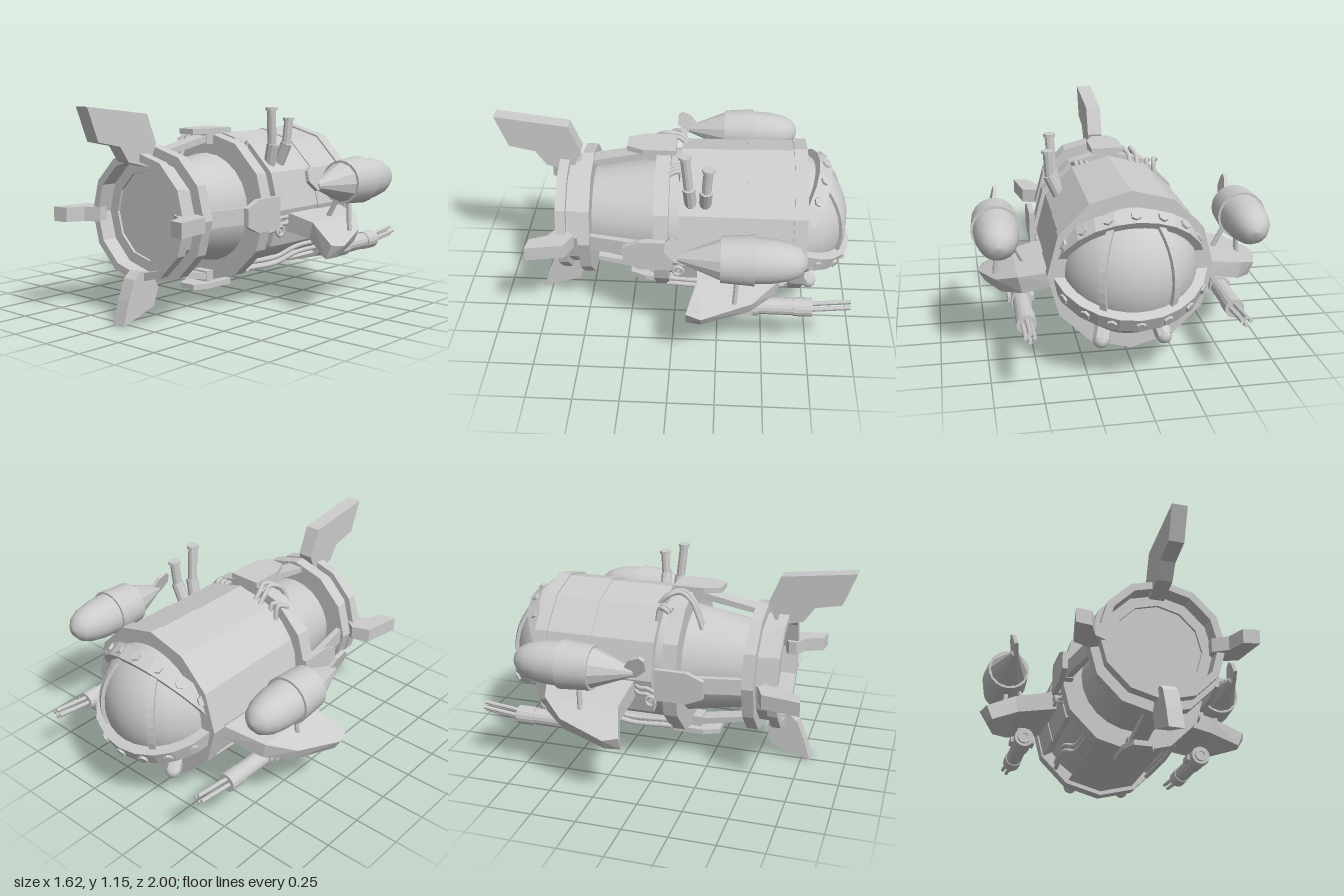
import * as THREE from 'three';
import { ConvexGeometry } from 'three/addons/geometries/ConvexGeometry.js';

const flat = new THREE.MeshStandardMaterial({ color: 0xcccccc, flatShading: true, side: THREE.DoubleSide });
const smooth = new THREE.MeshStandardMaterial({ color: 0xcccccc, side: THREE.DoubleSide });
const V = (x, y, z) => new THREE.Vector3(x, y, z);
const rad = THREE.MathUtils.degToRad;

function add(parent, name, geo, pos = [0, 0, 0], mat = flat) {
  const m = new THREE.Mesh(geo, mat);
  m.name = name;
  m.position.set(...pos);
  parent.add(m);
  return m;
}
function group(parent, name, pos = [0, 0, 0]) {
  const g = new THREE.Group();
  g.name = name;
  g.position.set(...pos);
  parent.add(g);
  return g;
}
// Cylinder lying along z from z0 to z1
function barrel(r0, r1, z0, z1, sides = 12) {
  return new THREE.CylinderGeometry(r1, r0, z1 - z0, sides).rotateX(Math.PI / 2).translate(0, 0, (z0 + z1) / 2);
}
// Rod between two points
function rod(a, b, r, sides = 8) {
  const d = b.clone().sub(a);
  const g = new THREE.CylinderGeometry(r, r, d.length(), sides);
  g.applyQuaternion(new THREE.Quaternion().setFromUnitVectors(V(0, 1, 0), d.normalize()));
  return g.translate((a.x + b.x) / 2, (a.y + b.y) / 2, (a.z + b.z) / 2);
}
function plate(points, depth) {
  const s = new THREE.Shape(points.map(p => new THREE.Vector2(...p)));
  return new THREE.ExtrudeGeometry(s, { depth, bevelEnabled: false }).translate(0, 0, -depth / 2);
}
// Faceted arc of a ring between two angles, centred on z = 0
function arcPlate(r0, r1, from, to, segs, depth) {
  const pts = [];
  for (let i = 0; i <= segs; i++) pts.push([r1, from + (to - from) * i / segs]);
  for (let i = segs; i >= 0; i--) pts.push([r0, from + (to - from) * i / segs]);
  return plate(pts.map(([r, a]) => [r * Math.cos(rad(a)), r * Math.sin(rad(a))]), depth);
}
// Revolve [radius, z] points about the z axis
function lathe(points, sides) {
  return new THREE.LatheGeometry(points.map(p => new THREE.Vector2(...p)), sides).rotateX(Math.PI / 2);
}
function hose(parent, name, points, r) {
  const path = new THREE.CatmullRomCurve3(points.map(p => V(...p)));
  add(parent, name, new THREE.TubeGeometry(path, 20, r, 8), [0, 0, 0], smooth);
}
// [z, radius] outline turned into an upright fin of a given width
const fin = (pts, width) => plate(pts, width).rotateY(-Math.PI / 2);

function buildHull(root) {
  const hull = group(root, 'hull', [0.017, 0.555, 0]);
  add(hull, 'innerHull', barrel(0.36, 0.36, -0.66, 0.05, 24), [0, 0, 0], smooth);
  // Armour covers the top and flanks, with a keel strip below
  add(hull, 'frontArmour', arcPlate(0.34, 0.42, -30, 210, 8, 0.27), [0, 0, -0.525]);
  add(hull, 'rearArmour', arcPlate(0.34, 0.414, -30, 210, 8, 0.37), [0, 0, -0.215]);
  add(hull, 'keel', arcPlate(0.34, 0.405, 240, 300, 2, 0.69), [0, 0, -0.31]);
  add(hull, 'noseCollar', barrel(0.43, 0.43, -0.72, -0.647));
  add(hull, 'midRing', barrel(0.425, 0.425, 0.027, 0.107));
  add(hull, 'tailCone', barrel(0.308, 0.246, 0.1, 0.47, 24), [0, 0, 0], smooth);
  add(hull, 'tailRing', barrel(0.37, 0.37, 0.46, 0.525));
  add(hull, 'nozzle', lathe([[0.31, 0.52], [0.31, 0.595], [0.347, 0.595], [0.347, 0.65], [0.305, 0.65], [0.305, 0.56], [0.245, 0.56], [0.245, 0.545], [0, 0.545]], 12));

  // Clamp plates and slanted struts on four sides
  for (let i = 0; i < 4; i++) {
    const g = group(hull, 'clamp');
    g.rotation.z = i * Math.PI / 2;
    const p = plate([[-0.09, 0], [0.09, 0], [0.09, -0.18], [0.05, -0.27], [-0.05, -0.27], [-0.09, -0.18]], 0.03);
    add(g, 'clampPlate', p.rotateX(-Math.PI / 2), [0, 0.435, 0]);
    add(g, 'clampBlock', new THREE.BoxGeometry(0.1, 0.08, 0.12), [0, 0.4, 0.1]);
    add(g, 'strut', fin([[0.1, 0.38], [0.1, 0.42], [0.47, 0.345], [0.47, 0.315]], 0.09));
  }
  // Tail fins: tall on top, shorter below, short and bent at the sides
  add(hull, 'topFin', fin([[1, 0.595], [0.594, 0.545], [0.53, 0.39], [0.583, 0.265], [0.727, 0.3], [0.785, 0.385], [0.93, 0.415]], 0.085), [-0.013, 0, 0]);
  add(hull, 'bottomFin', fin([[0.8, -0.555], [0.578, -0.48], [0.545, -0.38], [0.594, -0.295], [0.674, -0.28], [0.717, -0.318], [0.76, -0.425]], 0.082), [0.011, 0, 0]);
  const bent = [[0.8, 0.487], [0.59, 0.45], [0.55, 0.355], [0.6, 0.28], [0.645, 0.28], [0.69, 0.36], [0.785, 0.4]];
  for (const s of [-1, 1]) {
    add(hull, s > 0 ? 'leftFin' : 'rightFin', fin(bent, 0.08), [-0.012, s * 0.008 - 0.005, 0]).rotation.z = -s * Math.PI / 2;
  }
  // Two hoses cross the ring on top, others plug in behind it
  for (const x of [-0.16, -0.12]) {
    hose(hull, 'topHose', [[x, 0.36, -0.06], [x, 0.41, -0.01], [x + 0.02, 0.43, 0.05], [x, 0.4, 0.12], [x - 0.01, 0.3, 0.17], [x - 0.01, 0.24, 0.19]], 0.013);
  }
  for (const x of [-0.26, -0.22, 0.12, 0.15, 0.18]) {
    hose(hull, 'ringHose', [[x, 0.3, -0.04], [x, 0.375, -0.02], [x * 1.1, 0.36, 0.04]], 0.013);
  }
  // Pipes along the lower flanks, S-shaped hoses and a valve on each side
  for (const s of [-1, 1]) {
    for (const k of [0, 0.035]) {
      hose(hull, 'flankPipe', [[s * 0.25, -0.335 + k, 0.04], [s * 0.265, -0.335 + k, -0.2], [s * 0.3, -0.29 + k, -0.33], [s * 0.29, -0.29 + k, -0.62]], 0.014);
      hose(hull, 'sideHose', [[s * 0.38, -0.03 - k, -0.14], [s * 0.415, -0.04 - k, -0.1], [s * 0.415, -0.04 - k, -0.05], [s * 0.4, -0.07 - k, -0.01], [s * 0.38, -0.08 - k, 0.04]], 0.011);
    }
    add(hull, 'valveWheel', new THREE.TorusGeometry(0.026, 0.01, 8, 16).rotateY(Math.PI / 2), [s * 0.425, -0.11, -0.03], smooth);
    add(hull, 'valveStem', rod(V(s * 0.35, -0.11, -0.03), V(s * 0.43, -0.11, -0.03), 0.013));
  }
}

function buildNose(root) {
  const nose = group(root, 'nose', [0.017, 0.555, -0.61]);
  add(nose, 'dome', new THREE.SphereGeometry(0.36, 32, 20), [0, 0, 0], smooth);
  // Bolted frame bands above and below the window
  for (const [name, tilt, r] of [['upperBand', -33, 0.4], ['lowerBand', -117, 0.41]]) {
    const band = group(nose, name);
    band.rotation.x = rad(tilt);
    add(band, 'bandArc', arcPlate(0.34, r, 0, 180, 12, 0.085));
    for (let a = 30; a <= 150; a += 20) {
      const bolt = add(band, 'bolt', new THREE.CylinderGeometry(0.027, 0.027, 0.03, 6), [r * Math.cos(rad(a)) * 0.99, r * Math.sin(rad(a)) * 0.99, 0]);
      bolt.rotation.z = rad(a - 90);
    }
  }
  for (const side of [-1, 1]) {
    add(nose, 'windowRib', arcPlate(0.34, 0.378, -26, 54, 10, 0.035).rotateY(Math.PI / 2 + side * rad(30)));
    // Lamps under the chin
    const a = V(side * 0.14, -0.27, -0.1), b = V(side * 0.165, -0.35, -0.16);
    add(nose, 'lampStem', rod(a, b, 0.046, 8));
    add(nose, 'lampBulb', new THREE.SphereGeometry(0.042, 12, 8), [b.x, b.y, b.z], smooth);
  }
}

// Drooping wing: inner panel, then an outer panel swept back to a short tip
function buildWing(root, s) {
  const wing = group(root, s > 0 ? 'leftWing' : 'rightWing', [-0.017, 0, 0]);
  const edge = (x, lean, top, bottom, z) => [V(s * x, top, z), V(s * (x - lean), bottom, z)];
  const rootEdge = [...edge(0.36, 0, 0.55, 0.475, -0.64), ...edge(0.36, 0, 0.55, 0.44, -0.13)];
  const mid = [...edge(0.6, 0.02, 0.495, 0.405, -0.56), ...edge(0.6, 0.02, 0.495, 0.4, -0.14)];
  const corner = edge(0.71, 0.03, 0.435, 0.365, -0.43);
  const tip = [...edge(0.793, 0.04, 0.385, 0.32, -0.165), ...edge(0.765, 0.035, 0.395, 0.315, -0.085)];
  add(wing, 'innerPanel', new ConvexGeometry([...rootEdge, ...mid]));
  add(wing, 'outerPanel', new ConvexGeometry([...mid, ...corner, ...tip]));
}

function buildPod(root, s) {
  const pod = group(root, s > 0 ? 'leftPod' : 'rightPod', [0.017 + s * 0.662, 0.715, 0]);
  add(pod, 'podNose', lathe([[0, -0.705], [0.04, -0.695], [0.075, -0.665], [0.1, -0.61], [0.115, -0.53], [0.12, -0.42]], 20), [0, 0, 0], smooth);
  add(pod, 'podBand', barrel(0.132, 0.12, -0.435, -0.26, 20), [0, 0, 0], smooth);
  add(pod, 'podTail', barrel(0.112, 0.02, -0.27, -0.04, 12));
  // Curved tail hook
  const hook = add(pod, 'tailHook', fin([[-0.1, 0.02], [-0.05, 0.085], [0, 0.105], [0.025, 0.085], [0.03, 0.03], [0, 0], [-0.03, -0.025], [-0.08, -0.02]], 0.022));
  hook.rotation.z = rad(15);
  add(pod, 'podLegOuter', rod(V(-s * 0.005, -0.1, -0.35), V(s * 0.01, -0.28, -0.34), 0.014));
  add(pod, 'podLegInner', rod(V(-s * 0.08, -0.09, -0.36), V(-s * 0.16, -0.25, -0.35), 0.014));
}

function buildGun(root, s) {
  const gun = group(root, s > 0 ? 'leftGun' : 'rightGun', [0.017 + s * 0.543, 0.32, 0]);
  add(gun, 'breech', barrel(0.056, 0.056, -0.47, -0.31, 16));
  add(gun, 'breechCap', lathe([[0.04, -0.31], [0.04, -0.295], [0.02, -0.295], [0.02, -0.305], [0, -0.305]], 16));
  add(gun, 'housing', barrel(0.047, 0.047, -0.76, -0.46, 16));
  add(gun, 'muzzleRing', barrel(0.052, 0.052, -0.76, -0.66, 16));
  add(gun, 'sideTabs', new THREE.BoxGeometry(0.14, 0.03, 0.08), [0, 0, -0.4]);
  add(gun, 'mount', rod(V(0, 0.02, -0.42), V(s * 0.02, 0.12, -0.42), 0.018));
  for (let i = 0; i < 4; i++) {
    const a = i * Math.PI / 2, x = Math.cos(a) * 0.022, y = Math.sin(a) * 0.022;
    add(gun, 'gunBarrel', rod(V(x, y, -0.74), V(x, y + 0.025, -0.965), 0.011));
  }
}

function buildExhausts(root) {
  const pipes = group(root, 'exhaustPipes');
  for (const [x, z, lean, top] of [[0.35, -0.06, -0.03, 1.11], [0.375, -0.185, 0.015, 1.05]]) {
    add(pipes, 'exhaustSleeve', rod(V(0.315, 0.8, z + lean), V(x - 0.005, 0.92, z + lean * 0.7), 0.034, 10));
    add(pipes, 'exhaustPipe', rod(V(x - 0.01, 0.9, z + lean * 0.7), V(x, top, z), 0.026, 10));
    add(pipes, 'exhaustCap', rod(V(x, top - 0.005, z), V(x, top + 0.01, z), 0.034, 10));
  }
}

export function createModel() {
  const root = new THREE.Group();
  root.name = 'submersible';
  buildHull(root);
  buildNose(root);
  for (const s of [-1, 1]) {
    buildWing(root, s);
    buildPod(root, s);
    buildGun(root, s);
  }
  buildExhausts(root);
  return root;
}
